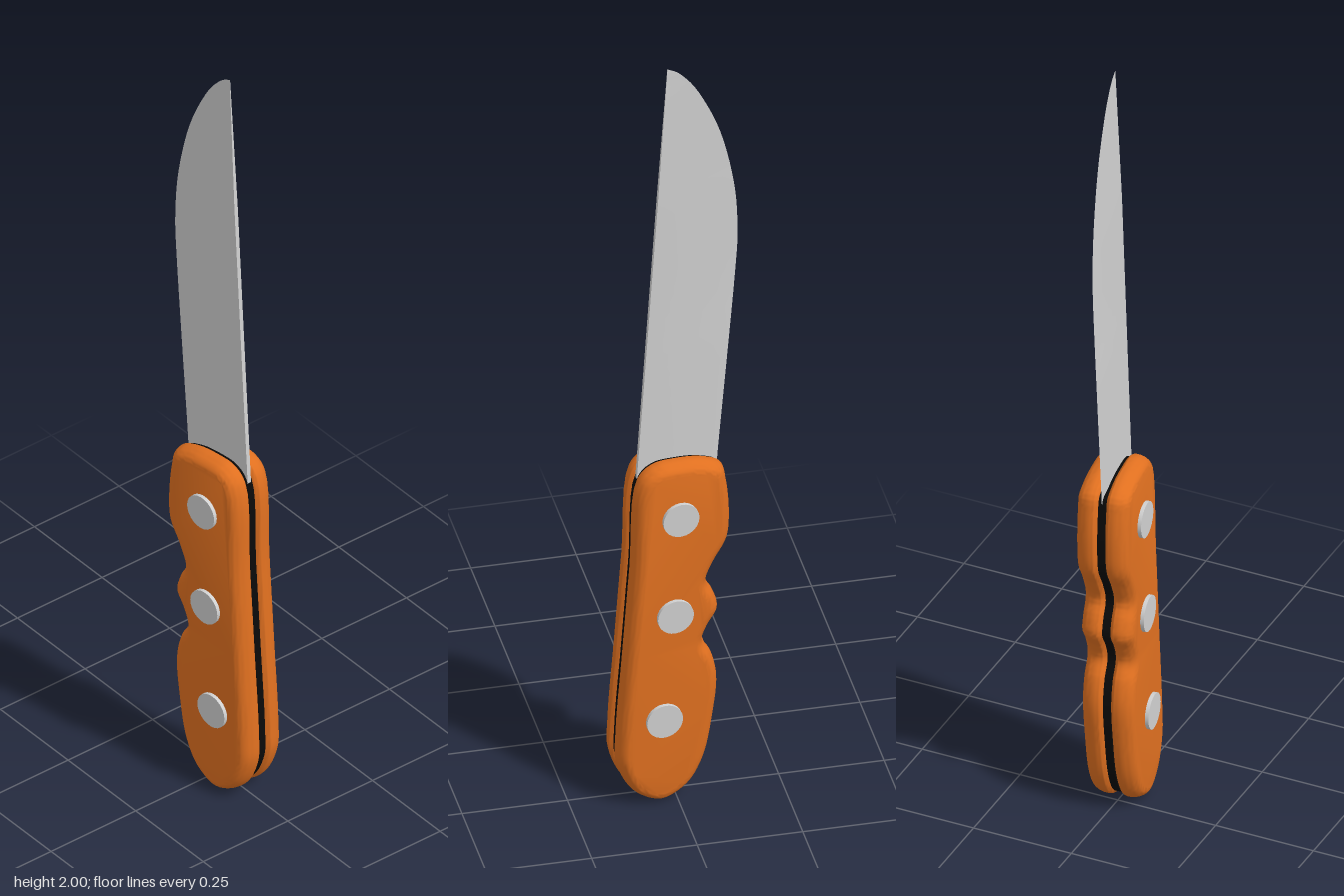
import * as THREE from 'three';
import { toCreasedNormals } from 'three/addons/utils/BufferGeometryUtils.js';

const mat = (name, color) => new THREE.MeshStandardMaterial({ name, color });
const v2 = ([x, y]) => new THREE.Vector2(x, y);

// Handle outline with finger grooves on the cutting side
const HANDLE = [
  [-0.105, 0.9], [-0.06, 0.922], [0, 0.93], [0.06, 0.925], [0.097, 0.89],
  [0.115, 0.65], [0.132, 0.42], [0.148, 0.2], [0.147, 0.12], [0.11, 0.04],
  [0.045, 0.005], [-0.02, 0.035], [-0.06, 0.1], [-0.085, 0.22], [-0.094, 0.32],
  [-0.08, 0.385], [-0.058, 0.425], [-0.07, 0.465], [-0.095, 0.51], [-0.085, 0.553],
  [-0.067, 0.59], [-0.085, 0.64], [-0.118, 0.7], [-0.124, 0.77], [-0.116, 0.86],
];

// Cutting edge from inside the handle up to the tip
const EDGE = [
  [-0.104, 0.84], [-0.11, 0.93], [-0.13, 1.16], [-0.15, 1.4], [-0.156, 1.52],
  [-0.147, 1.65], [-0.113, 1.8], [-0.06, 1.92], [-0.015, 1.98], [0.017, 2],
];

function handleShape() {
  const curve = new THREE.CatmullRomCurve3(
    HANDLE.map(([x, y]) => new THREE.Vector3(x, y, 0)), true, 'centripetal');
  return new THREE.Shape(curve.getPoints(150).slice(0, -1).map(p => v2([p.x, p.y])));
}

// Pillow-shaped grip half: strongly rounded outside, lightly rounded inside
function scaleGeometry(side) {
  const size = 0.027;
  const g = new THREE.ExtrudeGeometry(handleShape(), {
    depth: 0.1, bevelThickness: 1, bevelSize: size, bevelOffset: -size, bevelSegments: 8,
  });
  g.translate(0, 0, -0.05);
  const p = g.attributes.position;
  for (let i = 0; i < p.count; i++) {
    const z = p.getZ(i) / 1.05;
    p.setZ(i, side * 0.024 + z * (z * side > 0 ? 0.039 : 0.017));
  }
  return toCreasedNormals(g, 0.7);
}

// Wedge blade lofted from sections: edge, grind line and thick spine on both faces
function bladeGeometry() {
  const edge = new THREE.SplineCurve(EDGE.map(v2)).getPoints(45);
  const pos = [], index = [];
  for (const { x, y } of edge) {
    const spine = 0.094 - 0.077 * (y - 0.84) / 1.16;
    const low = THREE.MathUtils.clamp(0.035 - 0.06 * (y - 0.9), 0.012, 0.035);
    const k = THREE.MathUtils.clamp((y - 1.26) / 0.7, 0, 1);
    const ridge = THREE.MathUtils.lerp(Math.min(x + low, spine), spine, k);
    const t = 0.0055 * Math.min(1, (2 - y) / 0.4 + 0.1);
    pos.push(x, y, 0, ridge, y, t * 0.85, spine, y, t, spine, y, -t, ridge, y, -t * 0.85);
  }
  for (let i = 0; i < edge.length - 1; i++) {
    for (let j = 0; j < 5; j++) {
      const a = i * 5 + j, b = i * 5 + (j + 1) % 5;
      index.push(a, b, b + 5, a, b + 5, a + 5);
    }
  }
  const g = new THREE.BufferGeometry();
  g.setAttribute('position', new THREE.Float32BufferAttribute(pos, 3));
  g.setIndex(index);
  g.computeVertexNormals();
  return toCreasedNormals(g, 0.5);
}

export function createModel() {
  const steel = mat('steel', 0xd0d0d0);
  const orange = mat('orangeGrip', 0xe07020);
  const black = mat('blackLiner', 0x0a0a0a);
  const root = new THREE.Group();
  root.name = 'knife';
  const add = (name, geometry, material) => {
    const m = new THREE.Mesh(geometry, material);
    m.name = name;
    root.add(m);
    return m;
  };

  add('blade', bladeGeometry(), steel);

  // Dark core between the grip halves
  const liner = new THREE.ExtrudeGeometry(handleShape(), {
    depth: 0.016, bevelThickness: 0.001, bevelSize: 0, bevelOffset: -0.008, bevelSegments: 1,
  });
  liner.translate(0, 0, -0.008);
  add('handleCore', toCreasedNormals(liner, 0.6), black);

  add('frontGrip', scaleGeometry(1), orange);
  add('backGrip', scaleGeometry(-1), orange);

  // Rivets running through the handle, proud on both sides
  const rivet = new THREE.CylinderGeometry(0.044, 0.044, 0.144, 24);
  rivet.rotateX(Math.PI / 2);
  for (const [x, y] of [[0.005, 0.788], [0.018, 0.522], [0.044, 0.238]]) {
    add('rivet', rivet, steel).position.set(x, y, 0);
  }

  // The knife stands slightly turned and leaning
  root.rotation.set(-0.009, 0.115, 0);
  root.position.z = 0.005;
  const group = new THREE.Group();
  group.add(root);
  return group;
}
